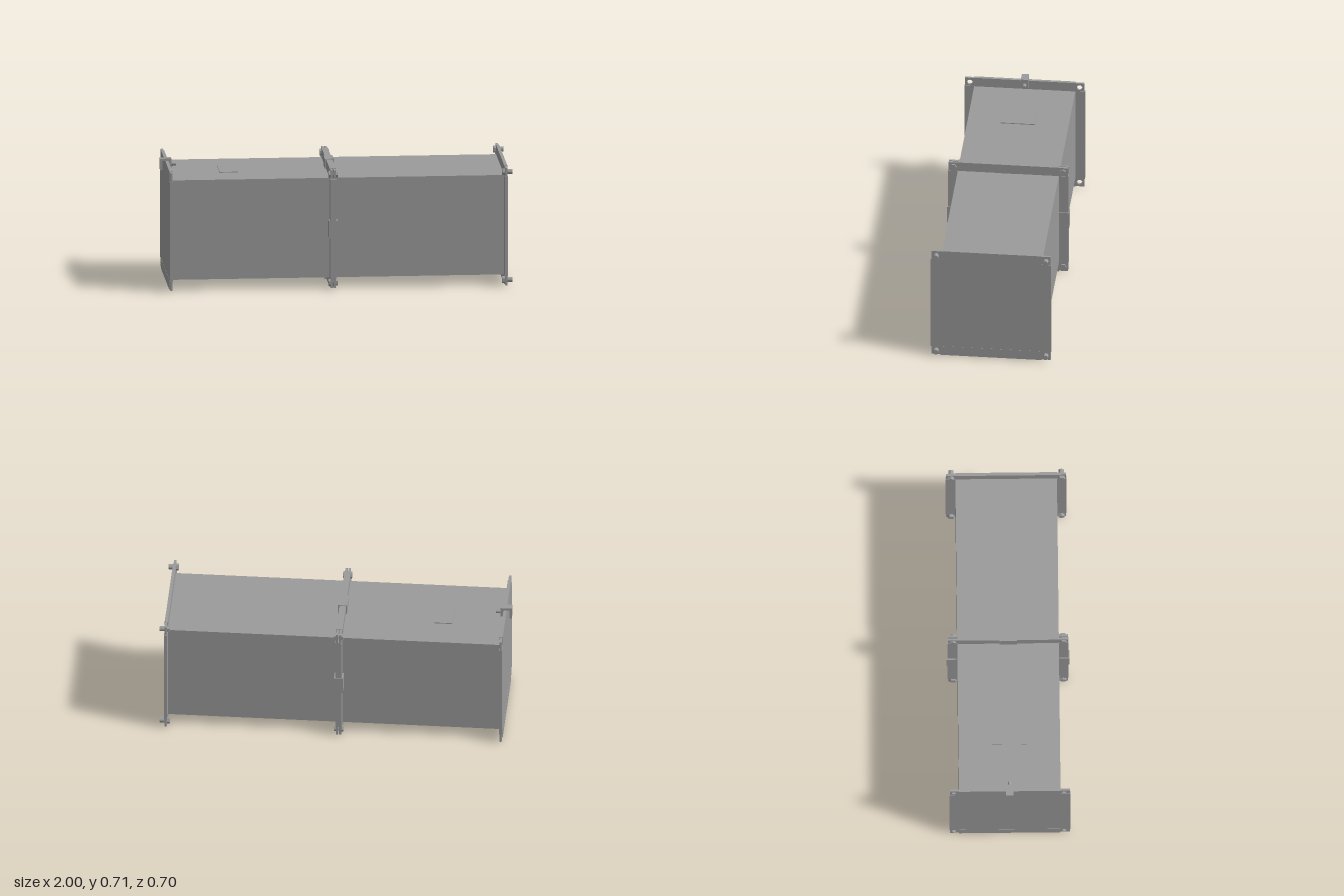
import * as THREE from 'three';

const grey = new THREE.MeshStandardMaterial({ color: 0x9b9b9b, flatShading: true });
const CY = 0.352;    // height of the duct axis
const BODY = 0.291;  // half width of the duct
const RIM = 0.345;   // half width of the flanges
const HOLE = 0.316;  // bolt distance from the axis

function add(parent, name, geometry, x = 0, y = 0, z = 0) {
  const mesh = new THREE.Mesh(geometry, grey);
  mesh.name = name;
  mesh.position.set(x, y, z);
  parent.add(mesh);
  return mesh;
}

// Box given by its limits
function block(parent, name, x0, x1, y0, y1, z0, z1) {
  return add(parent, name, new THREE.BoxGeometry(x1 - x0, y1 - y0, z1 - z0),
    (x0 + x1) / 2, (y0 + y1) / 2, (z0 + z1) / 2);
}

// Cylinder lying along x
function rod(parent, name, x0, x1, y, z, radius, sides = 24) {
  const g = new THREE.CylinderGeometry(radius, radius, x1 - x0, sides).rotateZ(-Math.PI / 2);
  return add(parent, name, g, (x0 + x1) / 2, y, z);
}

// Repeats a part on the four sides of the duct
function fourSides(parent, name, build) {
  for (let i = 0; i < 4; i++) {
    const side = new THREE.Group();
    side.name = name;
    side.rotation.x = i * Math.PI / 2;
    build(side);
    parent.add(side);
  }
}

// Square corner plate with a bolt hole, centred on x
function cornerPlate(parent, x, thickness) {
  const s = new THREE.Shape();
  const a = BODY - 0.002, b = RIM - 0.001;
  s.moveTo(a, a).lineTo(b, a).lineTo(b, b).lineTo(a, b).closePath();
  const hole = new THREE.Path();
  hole.absarc(HOLE, HOLE, 0.0155, 0, Math.PI * 2, true);
  s.holes.push(hole);
  const g = new THREE.ExtrudeGeometry(s, { depth: thickness, bevelEnabled: false, curveSegments: 20 });
  g.translate(0, 0, -thickness / 2).rotateY(Math.PI / 2);
  add(parent, 'cornerPlate', g, x);
}

// Ring of four folded strips joined by corner plates
function flange(parent, name, x) {
  const ring = new THREE.Group();
  ring.name = name;
  fourSides(ring, 'flangeSide', side => {
    block(side, 'flangeStrip', x - 0.009, x + 0.009, BODY - 0.002, RIM + 0.002, -BODY, BODY);
    cornerPlate(side, x, 0.013);
  });
  parent.add(ring);
}

export function createModel() {
  const model = new THREE.Group();
  const duct = new THREE.Group();
  duct.name = 'duct';
  duct.position.y = CY;
  model.add(duct);

  // Two closed duct sections meeting at the middle joint
  block(duct, 'leftSection', -0.969, -0.03, -BODY, BODY, -BODY, BODY);
  block(duct, 'rightSection', -0.03, 0.973, -BODY, BODY, -BODY, BODY);

  flange(duct, 'leftEndFlange', -0.961);
  flange(duct, 'leftJointFlange', -0.039);
  flange(duct, 'rightJointFlange', -0.021);
  flange(duct, 'rightEndFlange', 0.965);

  // Bolts through the corners of the joint and the right end
  fourSides(duct, 'bolts', side => {
    rod(side, 'jointBoltHead', -0.056, -0.045, HOLE, HOLE, 0.02, 6);
    rod(side, 'jointBolt', -0.046, -0.014, HOLE, HOLE, 0.015);
    rod(side, 'jointNut', -0.015, -0.004, HOLE, HOLE, 0.02, 6);
    rod(side, 'endBoltHead', 0.942, 0.959, HOLE, HOLE, 0.02, 6);
    rod(side, 'endBolt', 0.95, 1, HOLE, HOLE, 0.015);
  });

  // Drive cleats gripping the joint at the middle of each side
  fourSides(duct, 'cleat', side => {
    block(side, 'cleatTop', -0.056, -0.004, RIM, CY, -0.05, 0.05);
    for (const x of [-0.056, -0.011])
      block(side, 'cleatLeg', x, x + 0.007, 0.295, RIM, -0.05, 0.05);
  });

  // Thin raised plate on top of the left section
  block(duct, 'plate', -0.665, -0.56, BODY, BODY + 0.005, -0.1, 0.1);

  // Clamp hooked over the left flange, tightened by a screw
  const clamp = new THREE.Group();
  clamp.name = 'flangeClamp';
  clamp.position.y = CY;
  model.add(clamp);
  block(clamp, 'clampTop', -1, -0.935, 0.348, 0.362, -0.021, 0.021);
  block(clamp, 'clampOuterLeg', -1, -0.988, 0.295, 0.348, -0.021, 0.021);
  block(clamp, 'clampInnerLeg', -0.952, -0.935, 0.305, 0.348, -0.021, 0.021);
  rod(clamp, 'clampScrew', -0.945, -0.907, 0.327, 0, 0.011);
  return model;
}
